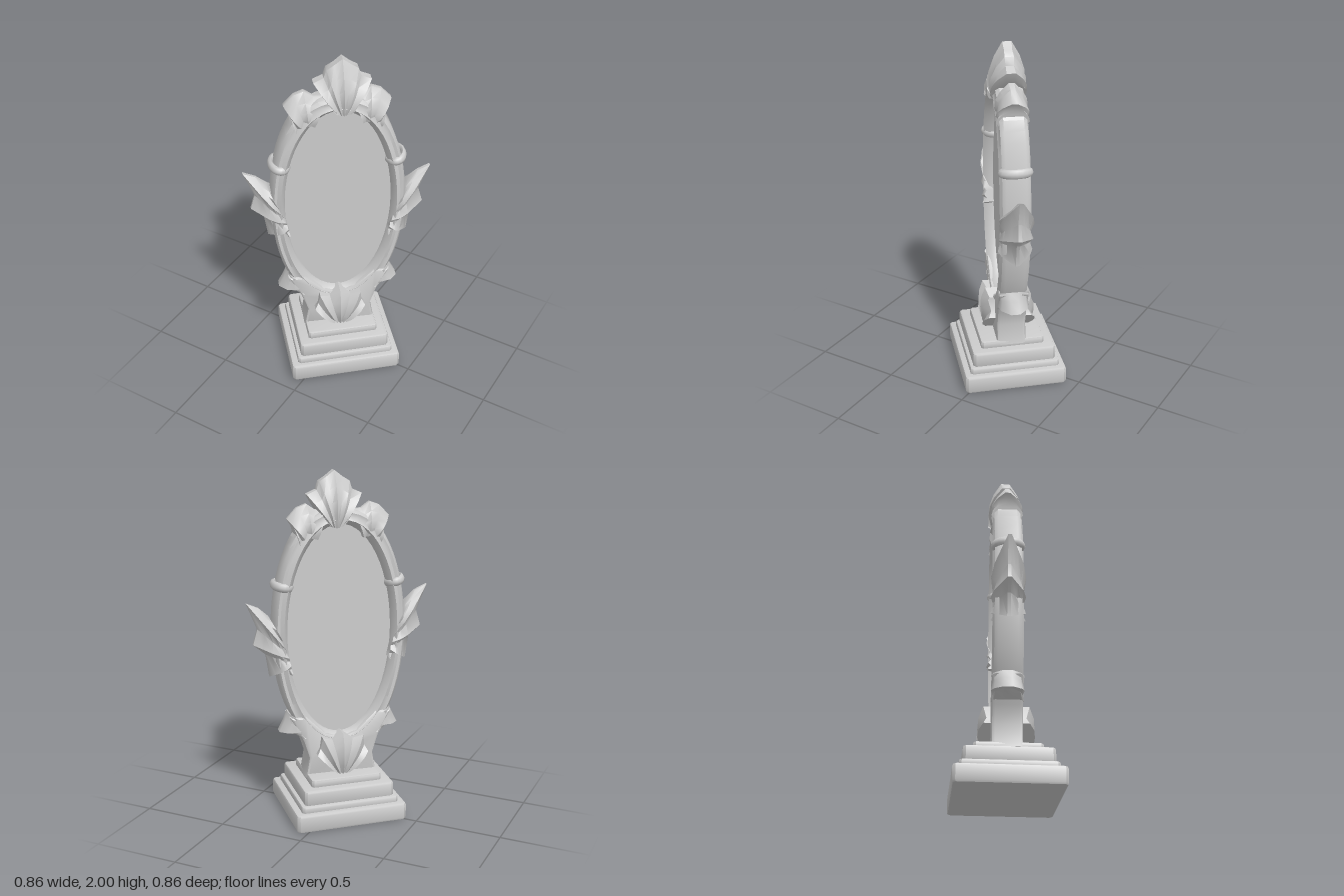
import * as THREE from 'three';
import { toCreasedNormals } from 'three/addons/utils/BufferGeometryUtils.js';

const stone = new THREE.MeshStandardMaterial({ color: 0xcccccc });
stone.name = 'pale stone';

function part(name, geometry, parent, crease = 0.6) {
  const mesh = new THREE.Mesh(toCreasedNormals(geometry, crease), stone);
  mesh.name = name;
  parent.add(mesh);
  return mesh;
}

// Joins equal loops of [x, y, z] into a skin; open skins get strip caps on both ends
function skin(loops, closed) {
  const m = loops[0].length, rows = loops.length, index = [];
  for (let j = 0; j < (closed ? rows : rows - 1); j++) {
    for (let k = 0; k < m; k++) {
      const a = j * m + k, b = j * m + (k + 1) % m;
      const c = ((j + 1) % rows) * m + k, d = ((j + 1) % rows) * m + (k + 1) % m;
      index.push(a, b, d, a, d, c);
    }
  }
  if (!closed) {
    const e = (rows - 1) * m;
    for (let i = 0; i < m / 2 - 1; i++) {
      const p = i, q = i + 1, r = m - 2 - i, s = m - 1 - i;
      index.push(e + p, e + q, e + r, e + p, e + r, e + s, p, r, q, p, s, r);
    }
  }
  const g = new THREE.BufferGeometry();
  g.setAttribute('position', new THREE.Float32BufferAttribute(loops.flat(2), 3));
  g.setIndex(index);
  return g;
}

// Ribbed leaf: ribs run clockwise from root to rim, even ribs are ridges.
// depth lists the half thickness from root to rim.
function leaf(roots, rim, depth, groove) {
  const loops = depth.map((h, j) => {
    const t = j / (depth.length - 1);
    const front = rim.map(([x, y], i) => {
      const f = (i / (rim.length - 1)) * (roots.length - 1);
      const n = Math.min(Math.floor(f), roots.length - 2), u = f - n;
      const rx = THREE.MathUtils.lerp(roots[n][0], roots[n + 1][0], u);
      const ry = THREE.MathUtils.lerp(roots[n][1], roots[n + 1][1], u);
      return [rx + (x - rx) * t, ry + (y - ry) * t, h * (i % 2 ? groove : 1)];
    });
    return [...front, ...front.map(([x, y, z]) => [x, y, -z]).reverse()];
  });
  return skin(loops, false);
}

const mirror = (points) => points.map(([x, y]) => [-x, y]).reverse();

// Bevelled slab with slightly cut corners
function slab(w, d, y0, y1, bevel) {
  const a = w - bevel, b = d - bevel, c = 0.007;
  const shape = new THREE.Shape([
    [a - c, -b], [a, c - b], [a, b - c], [a - c, b],
    [c - a, b], [-a, b - c], [-a, c - b], [c - a, -b],
  ].map((p) => new THREE.Vector2(...p)));
  const g = new THREE.ExtrudeGeometry(shape, {
    depth: y1 - y0 - 2 * bevel, bevelThickness: bevel, bevelSize: bevel, bevelSegments: 2,
  });
  return g.rotateX(-Math.PI / 2).translate(0, y0 + bevel, 0);
}

export function createModel() {
  const model = new THREE.Group();
  model.name = 'ornate oval mirror';

  // Stepped base
  const base = new THREE.Group();
  base.name = 'steppedBase';
  base.rotation.y = 0.73;
  model.add(base);
  [
    [0.326, 0.298, 0, 0.105, 0.015],
    [0.287, 0.263, 0.09, 0.14, 0.012],
    [0.266, 0.243, 0.13, 0.222, 0.014],
    [0.208, 0.186, 0.21, 0.262, 0.01],
  ].forEach((s, i) => part('baseStep' + (i + 1), slab(...s), base));

  const upper = new THREE.Group();
  upper.name = 'mirrorAssembly';
  upper.rotation.y = 0.69;
  model.add(upper);

  // Flared pedestal cradling the oval
  const half = [[0.195, 0.25], [0.175, 0.36], [0.21, 0.47], [0.28, 0.6], [0.21, 0.6], [0.1, 0.49]];
  const outline = [...half, [0, 0.455], ...mirror(half)];
  const pedestal = new THREE.ExtrudeGeometry(
    new THREE.Shape(outline.map((p) => new THREE.Vector2(...p))),
    { depth: 0.13, bevelThickness: 0.02, bevelSize: 0.015, bevelSegments: 2 },
  );
  part('pedestal', pedestal.translate(0, 0, -0.065), upper);

  // Moulded frame: cross-section as [inner-to-outer fraction, z]
  const section = [
    [0, 0.02], [0.06, 0.055], [0.35, 0.086], [0.62, 0.072], [0.82, 0.075], [1, 0.055],
    [1, -0.055], [0.82, -0.075], [0.62, -0.072], [0.35, -0.086], [0.06, -0.055], [0, -0.02],
  ];
  const rings = [];
  for (let i = 0; i < 56; i++) {
    const a = (i / 56) * Math.PI * 2, c = Math.cos(a), s = Math.sin(a);
    const ox = 0.378 * Math.sign(c) * Math.abs(c) ** 0.82, oy = 1.1 + 0.69 * s;
    const ix = 0.3 * c, iy = 1.1 + 0.605 * s;
    rings.push(section.map(([t, z]) => [ix + (ox - ix) * t, iy + (oy - iy) * t, z]));
  }
  part('ovalFrame', skin(rings, true), upper, 0.7);

  // Recessed mirror plate
  const plate = new THREE.CylinderGeometry(1, 1, 0.058, 56);
  plate.rotateX(Math.PI / 2).scale(0.305, 0.612, 1).translate(0, 1.1, 0);
  part('mirrorPlate', plate, upper);

  // Paired ornaments
  const wingRoot = [[0.34, 1.1], [0.3, 0.99], [0.28, 0.9]];
  const wingRim = [[0.4, 1.22], [0.455, 1.27], [0.525, 1.3], [0.465, 1.15], [0.49, 1.06],
    [0.42, 1.0], [0.4, 0.87], [0.345, 0.93], [0.3, 0.88]];
  const curlRoot = [[0.13, 1.63], [0.18, 1.64], [0.23, 1.6]];
  const curlRim = [[0.08, 1.78], [0.13, 1.785], [0.18, 1.82], [0.235, 1.8], [0.29, 1.74],
    [0.27, 1.72], [0.255, 1.69]];
  const hipRoot = [[0.25, 0.6], [0.22, 0.53], [0.2, 0.48]];
  const hipRim = [[0.3, 0.63], [0.32, 0.58], [0.352, 0.515], [0.3, 0.525], [0.25, 0.49]];
  for (const s of [1, -1]) {
    const side = s > 0 ? 'left' : 'right';
    const flip = (points) => (s > 0 ? points : mirror(points));
    const wing = part(side + 'Wing', leaf(flip(wingRoot), flip(wingRim),
      [0.085, 0.096, 0.08, 0.045, 0.01], 0.82), upper, 0.8);
    wing.position.y = s > 0 ? -0.02 : 0.03;
    part(side + 'CrestCurl', leaf(flip(curlRoot), flip(curlRim),
      [0.075, 0.09, 0.085, 0.06, 0.015], 0.85), upper, 0.8);
    part(side + 'HipLeaf', leaf(flip(hipRoot), flip(hipRim),
      [0.082, 0.09, 0.075, 0.025], 0.9), upper, 0.8);
    const collar = new THREE.TorusGeometry(1, 0.3, 8, 20);
    collar.rotateX(Math.PI / 2).scale(0.05, 0.085, 0.074);
    collar.rotateZ(s * 0.2).translate(s * 0.322, 1.37, 0);
    part(side + 'Collar', collar, upper, 1);
  }

  // Three-petalled crest on top
  const petals = [[-0.1, 1.79], [-0.13, 1.825], [-0.155, 1.87], [-0.1, 1.895], [-0.085, 1.94]];
  const crest = part('crestShell', leaf(
    [[-0.035, 1.7], [0, 1.69], [0.035, 1.7]],
    [...petals, [-0.045, 1.965], [0, 2], [0.045, 1.965], ...mirror(petals)],
    [0.085, 0.1, 0.095, 0.07, 0.025], 0.88), upper, 0.8);
  crest.position.x = 0.025;

  // Shell fan on both faces of the pedestal
  const fan = [[-0.15, 0.385], [-0.13, 0.42], [-0.12, 0.49], [-0.06, 0.47]];
  part('pedestalShell', leaf(
    [[-0.035, 0.265], [0, 0.255], [0.035, 0.265]],
    [...fan, [0, 0.505], ...mirror(fan)],
    [0.13, 0.15, 0.155, 0.15, 0.125], 0.86), upper);

  return model;
}
